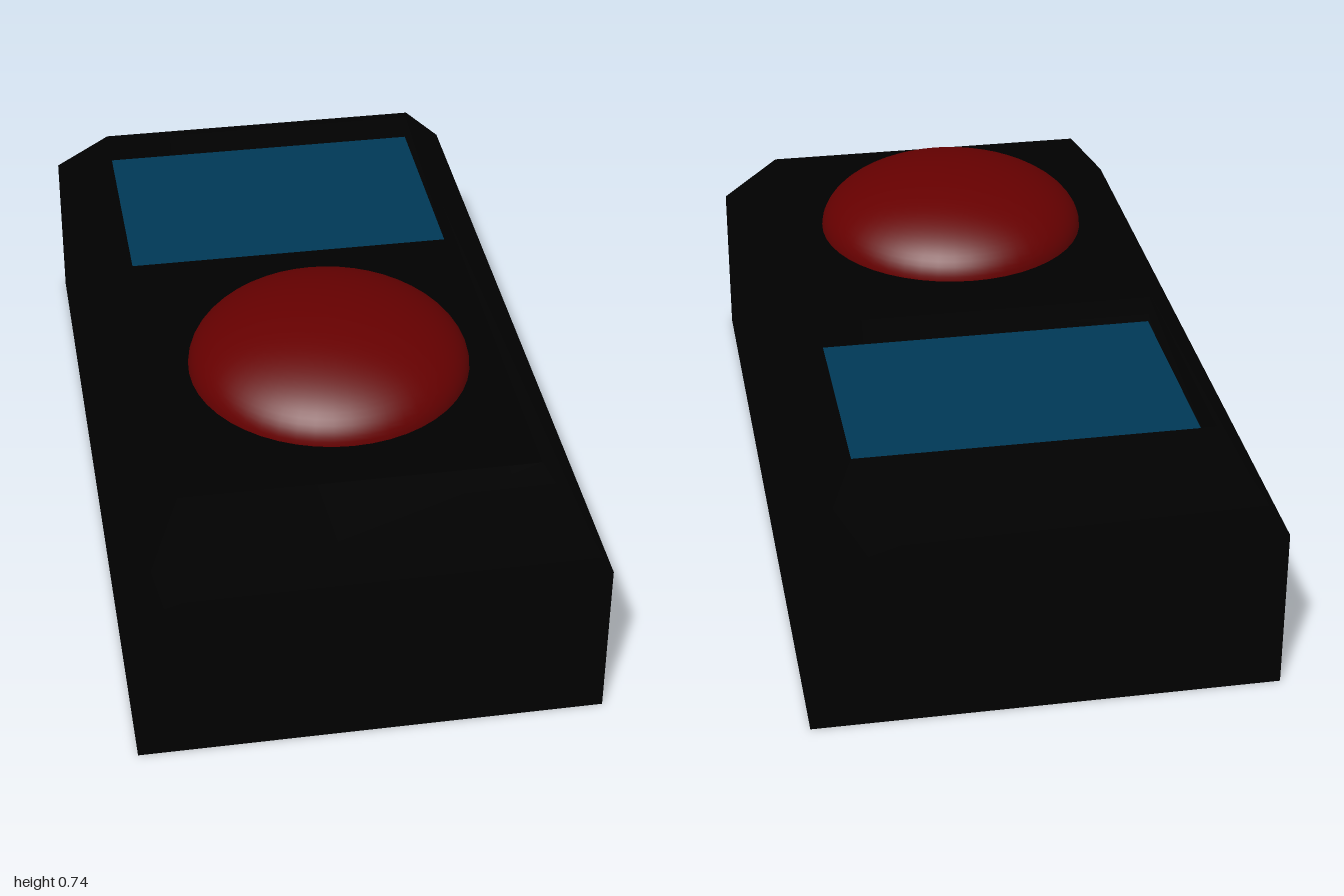
import * as THREE from 'three';

const black = new THREE.MeshStandardMaterial({ color: 0x000000, side: THREE.DoubleSide });
black.name = 'black casing';
const red = new THREE.MeshStandardMaterial({ color: 0x660000 });
red.name = 'dark red';
const blue = new THREE.MeshStandardMaterial({ color: 0x003856 });
blue.name = 'deep blue';

// Main sizes: top height, top half width, top half depth, screen floor height, front edge of the screen
const TOP = 0.588;
const W = 0.417;
const D = 0.815;
const FLOOR = 0.512;
const EDGE = -0.15;

// Rectangular rings [half width, y, half depth] joined into an open sleeve
function sleeveGeometry(rings) {
  const positions = [];
  const index = [];
  for (const [w, y, d] of rings) positions.push(-w, y, d, w, y, d, w, y, -d, -w, y, -d);
  for (let r = 0; r < rings.length - 1; r++) {
    for (let i = 0; i < 4; i++) {
      const a = r * 4 + i;
      const b = r * 4 + (i + 1) % 4;
      index.push(a, b, b + 4, a, b + 4, a + 4);
    }
  }
  const geometry = new THREE.BufferGeometry();
  geometry.setAttribute('position', new THREE.Float32BufferAttribute(positions, 3));
  geometry.setIndex(index);
  geometry.computeVertexNormals();
  return geometry;
}

// Horizontal rectangle facing up
const panelGeometry = (width, depth) => new THREE.PlaneGeometry(width, depth).rotateX(-Math.PI / 2);

// Low dome with a flat underside
function domeGeometry(radius, height, skirt) {
  const profile = [new THREE.Vector2(radius, -skirt)];
  for (let i = 0; i <= 20; i++) {
    const a = (i / 20) * Math.PI / 2;
    profile.push(new THREE.Vector2(radius * Math.cos(a), height * Math.sin(a)));
  }
  return new THREE.LatheGeometry(profile, 48);
}

export function createModel() {
  const model = new THREE.Group();
  model.name = 'buttonBox';

  const add = (name, geometry, material, x, y, z) => {
    const mesh = new THREE.Mesh(geometry, material);
    mesh.name = name;
    mesh.position.set(x, y, z);
    model.add(mesh);
    return mesh;
  };

  // Hollow casing: upright walls, bevels and the solid front part of the top
  add('casing', sleeveGeometry([[0.547, 0, 1], [0.547, 0.4, 1], [W, TOP, D]]), black, 0, 0, 0);
  add('topPanel', panelGeometry(2 * W, D - EDGE), black, 0, TOP, (D + EDGE) / 2);

  // Sunken bay at the rear of the top, with the screen on its floor
  const bayDepth = D + EDGE;
  const bayZ = (EDGE - D) / 2;
  add('bayWalls', sleeveGeometry([[W, FLOOR - 0.004, bayDepth / 2], [W, TOP, bayDepth / 2]]), black, 0, 0, bayZ);
  add('bayFloor', panelGeometry(2 * W, bayDepth), black, 0, FLOOR - 0.004, bayZ);
  add('screen', panelGeometry(2 * W - 0.004, bayDepth - 0.004), blue, 0, FLOOR, bayZ);

  // Domed button whose flat base shows inside the casing
  const dome = add('button', domeGeometry(1, 0.15, 0.02), red, 0.004, TOP, 0.34);
  dome.scale.set(0.337, 1, 0.346);
  const base = add('buttonBase', new THREE.CircleGeometry(1, 48).rotateX(Math.PI / 2), red, 0.004, TOP - 0.02, 0.34);
  base.scale.set(0.337, 1, 0.346);

  return model;
}
